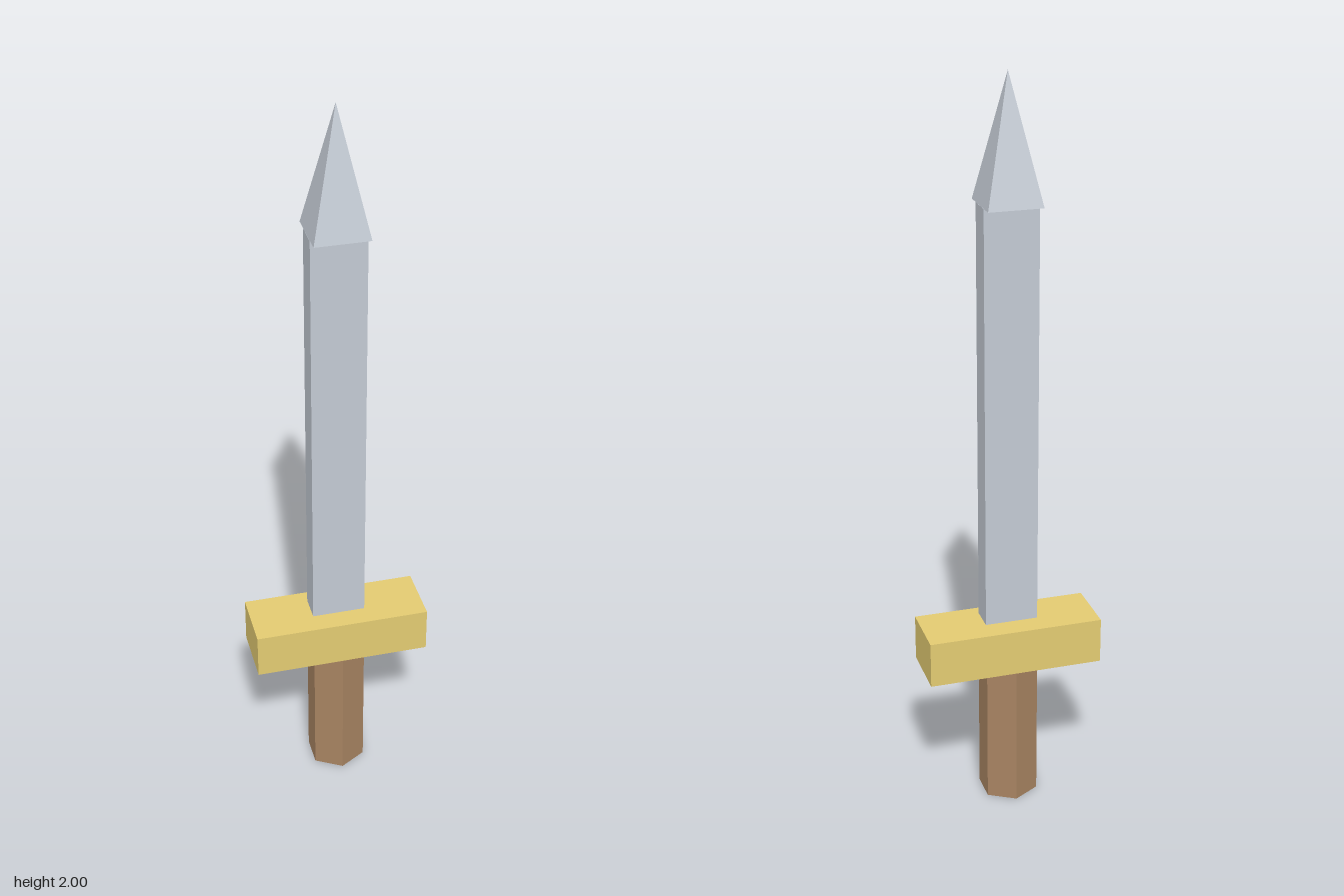
import * as THREE from 'three';

// Makes a named, flat-shaded mesh whose base sits at height y
function part(name, geometry, color, y, height) {
  const material = new THREE.MeshStandardMaterial({ color });
  material.flatShading = true;
  const mesh = new THREE.Mesh(geometry, material);
  mesh.name = name;
  mesh.position.y = y + height / 2;
  return mesh;
}

export function createModel() {
  const sword = new THREE.Group();
  sword.name = 'sword';
  const steel = 0xc3cad3, gold = 0xe3cb72, wood = 0xa88462;

  // Six-sided grip, corners facing front and back
  sword.add(part('grip', new THREE.CylinderGeometry(0.082, 0.082, 0.4, 6), wood, 0, 0.4));

  // Crossguard bar
  sword.add(part('crossguard', new THREE.BoxGeometry(0.476, 0.126, 0.165), gold, 0.4, 0.126));

  // Flat blade, floating just above the guard
  sword.add(part('blade', new THREE.BoxGeometry(0.144, 1.14, 0.07), steel, 0.535, 1.14));

  // Square pyramid point, deeper than the blade
  const point = new THREE.ConeGeometry(0.0715 * Math.SQRT2, 0.325, 4);
  point.rotateY(Math.PI / 4);
  sword.add(part('bladePoint', point, steel, 1.675, 0.325));

  return sword;
}
